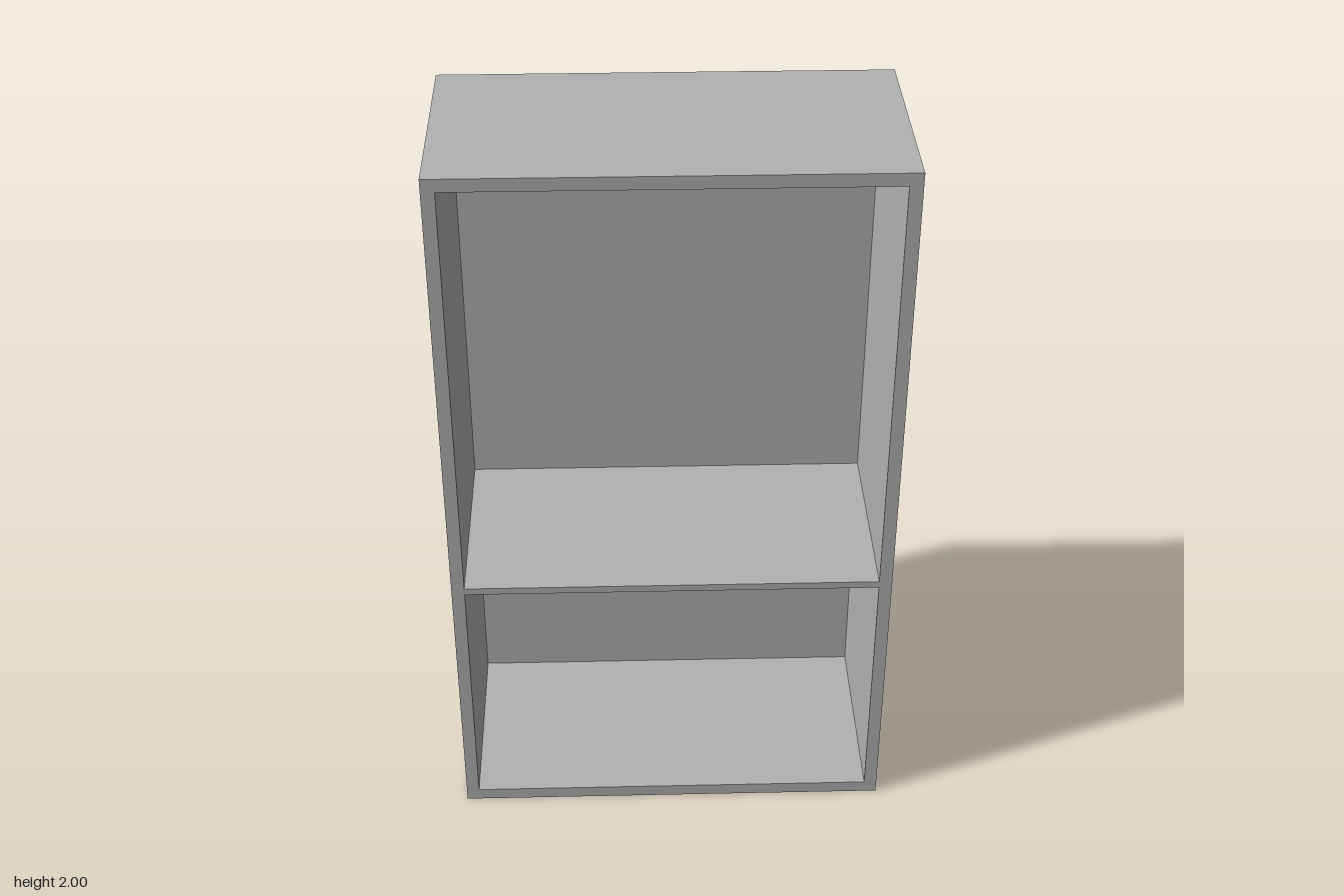
import * as THREE from 'three';

const WIDTH = 1.19, HEIGHT = 2, DEPTH = 0.595;
const BOARD = 0.035, SHELF = 0.02;

export function createModel() {
  const group = new THREE.Group();
  group.name = 'bookcase';
  const grey = new THREE.MeshStandardMaterial({ color: 0xb2b2b2 });
  grey.name = 'plain grey';

  // Adds one flat board, placed by its centre
  function board(name, w, h, d, x, y, z) {
    const mesh = new THREE.Mesh(new THREE.BoxGeometry(w, h, d), grey);
    mesh.name = name;
    mesh.position.set(x, y, z);
    group.add(mesh);
  }

  // Full-size back panel
  board('backPanel', WIDTH, HEIGHT, BOARD, 0, HEIGHT / 2, -DEPTH / 2 + BOARD / 2);

  // Everything else stands in front of the back panel
  const depth = DEPTH - BOARD, z = BOARD / 2;
  for (const [name, side] of [['leftSide', 1], ['rightSide', -1]]) {
    board(name, BOARD, HEIGHT, depth, side * (WIDTH - BOARD) / 2, HEIGHT / 2, z);
  }

  // Horizontal boards between the sides
  const inner = WIDTH - 2 * BOARD;
  board('topBoard', inner, BOARD, depth, 0, HEIGHT - BOARD / 2, z);
  board('bottomBoard', inner, BOARD, depth, 0, BOARD / 2, z);
  board('shelf', inner, SHELF, depth, 0, 0.767, z);

  return group;
}
